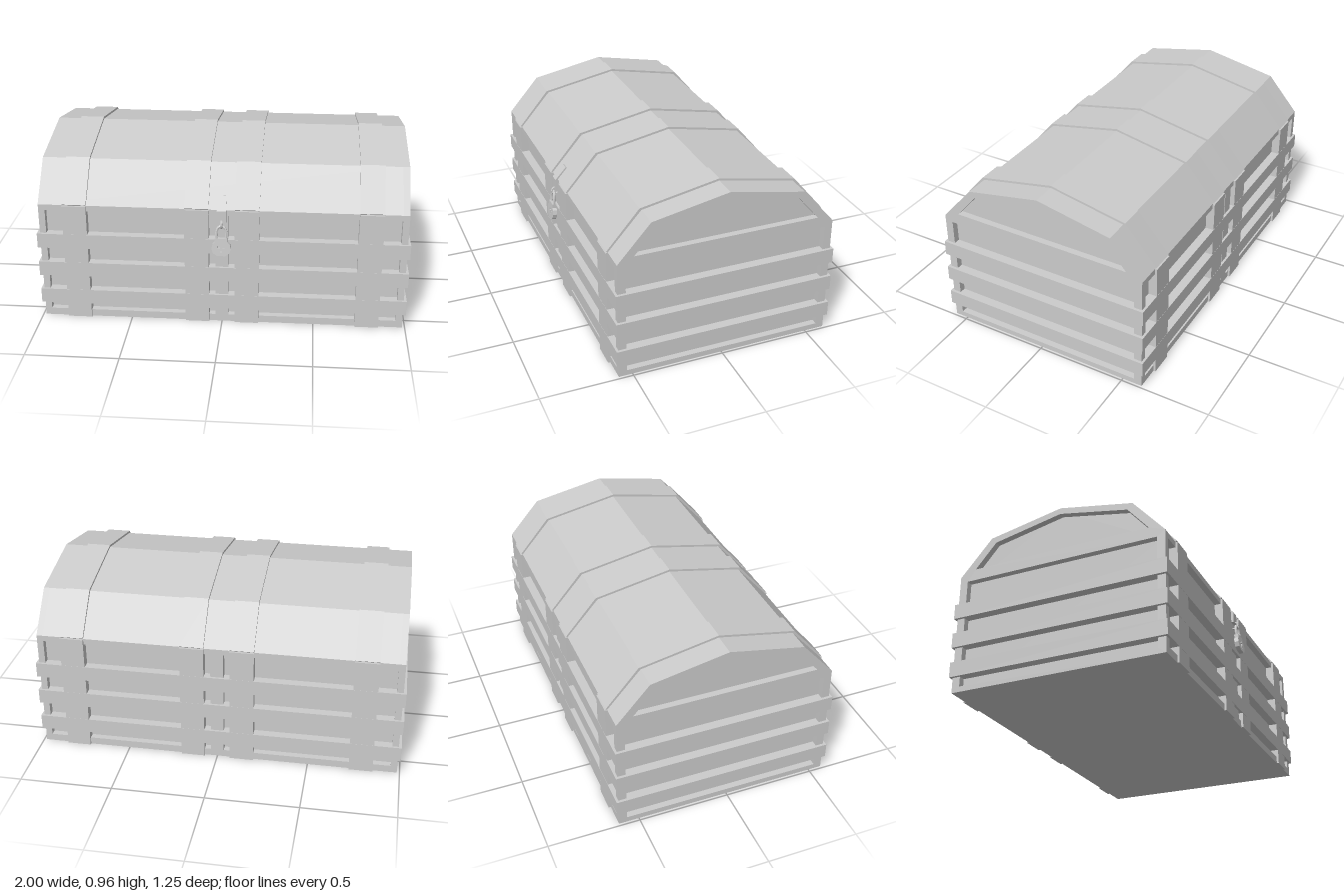
import * as THREE from 'three';

const material = new THREE.MeshStandardMaterial({ color: 0xcccccc, flatShading: true });
const END = 0.985, HALF = 0.593, DEPTH = 0.035, MID = -0.018;

function shapeOf(points) {
  return new THREE.Shape(points.map(([a, b]) => new THREE.Vector2(a, b)));
}

// Completes a half outline by reflecting it; points on the axis are not doubled
function mirrored(half) {
  const other = half.filter(([a]) => a > 0).map(([a, b]) => [-a, b]).reverse();
  return [...half, ...other];
}

// Extrudes a side outline along x, starting at x0
function extrudeX(shape, x0, width) {
  const g = new THREE.ExtrudeGeometry(shape, { depth: width, bevelEnabled: false });
  g.rotateY(Math.PI / 2);
  g.translate(x0, 0, 0);
  return g;
}

export function createModel() {
  const model = new THREE.Group();
  model.name = 'chest';
  const chest = new THREE.Group();
  chest.name = 'chestShell';
  chest.position.z = MID;
  model.add(chest);

  function add(parent, name, geometry, x = 0, y = 0, z = 0) {
    const mesh = new THREE.Mesh(geometry, material);
    mesh.name = name;
    mesh.position.set(x, y, z);
    parent.add(mesh);
    return mesh;
  }
  const box = (parent, name, w, h, d, x, y, z) =>
    add(parent, name, new THREE.BoxGeometry(w, h, d), x, y, z);

  // Core: recessed body walls below, full-size faceted lid above
  const lid = [[HALF, 0.67], [0.415, 0.872], [0, 0.953]];
  const inner = HALF - DEPTH;
  add(chest, 'bodyAndLidCore', extrudeX(
    shapeOf(mirrored([[inner, 0], [inner, 0.638], [HALF, 0.638], ...lid])),
    -END + DEPTH, 2 * (END - DEPTH)));

  // End frames with a body panel opening and a lid panel opening
  for (const side of [-1, 1]) {
    const frame = shapeOf(mirrored([[HALF, 0], ...lid]));
    frame.holes.push(
      shapeOf(mirrored([[0.549, 0.03], [0.549, 0.638]])),
      shapeOf(mirrored([[0.504, 0.703], [0.386, 0.84], [0, 0.918]])));
    add(chest, 'endFrame', extrudeX(frame, side > 0 ? END - DEPTH : -END, DEPTH));
  }

  // Front and back frames: bottom rail and centre stile
  for (const side of [-1, 1]) {
    const z = side * (HALF - DEPTH / 2);
    box(chest, 'bottomRail', 2 * (END - DEPTH), 0.04, DEPTH, 0, 0.02, z);
    box(chest, 'centreStile', 0.07, 0.6, DEPTH, 0, 0.339, z);
  }

  // Horizontal bands wrapped around the body
  for (const y of [0.126, 0.293, 0.461]) {
    box(chest, 'horizontalBand', 2, 0.083, 1.212, 0, y, 0);
  }

  // Vertical straps, continued over the lid
  const outer = [[0.601, 0.676], [0.425, 0.882], [0, 0.965]];
  const under = [[HALF - 0.004, 0.667], [0.41, 0.868], [0, 0.948]];
  const across = (p) => [...p, ...p.slice(0, -1).reverse().map(([a, b]) => [-a, b])];
  const lidStrap = shapeOf([...across(outer), ...across(under).reverse()]);
  for (const x of [-0.79, -0.135, 0.135, 0.79]) {
    box(chest, 'bodyStrap', 0.13, 0.668, 1.21, x, 0.334, 0);
    add(chest, 'lidStrap', extrudeX(lidStrap, x - 0.065, 0.13));
  }

  // Hasp bent over the edge of the lid (outline uses -z as its first axis)
  const hasp = shapeOf([[-0.515, 0.73], [-0.528, 0.735], [-0.589, 0.668],
    [-0.589, 0.605], [-0.572, 0.605], [-0.572, 0.668]]);
  add(model, 'hasp', extrudeX(hasp, -0.025, 0.05));

  // Staple that the padlock hangs from
  const staple = add(model, 'staple',
    new THREE.TorusGeometry(0.02, 0.006, 6, 12), 0, 0.592, 0.585);
  staple.rotation.y = Math.PI / 2;

  // Padlock, leaning slightly outward at the bottom
  const padlock = new THREE.Group();
  padlock.name = 'padlock';
  padlock.position.set(0, 0.47, 0.608);
  padlock.rotation.x = -0.1;
  model.add(padlock);

  const outline = mirrored([[0.022, -0.048], [0.044, -0.032], [0.052, -0.006],
    [0.046, 0.018], [0.034, 0.028], [0.034, 0.05]]);
  const face = shapeOf(outline);
  face.holes.push(shapeOf(mirrored([[0.006, -0.026], [0.006, -0.004], [0.018, -0.004],
    [0.018, 0.008], [0.006, 0.008], [0.006, 0.018]])));
  const plate = (shape, depth) =>
    new THREE.ExtrudeGeometry(shape, { depth, bevelEnabled: false });
  add(padlock, 'padlockBack', plate(shapeOf(outline), 0.014), 0, 0, -0.012);
  add(padlock, 'padlockFace', plate(face, 0.01), 0, 0, 0.002);

  // Shackle
  const path = new THREE.CatmullRomCurve3([[-0.025, 0.045], [-0.025, 0.085], [-0.017, 0.108],
    [0, 0.117], [0.017, 0.108], [0.025, 0.085], [0.025, 0.045]]
    .map(([x, y]) => new THREE.Vector3(x, y, 0)));
  add(padlock, 'shackle', new THREE.TubeGeometry(path, 18, 0.008, 6));

  return model;
}
